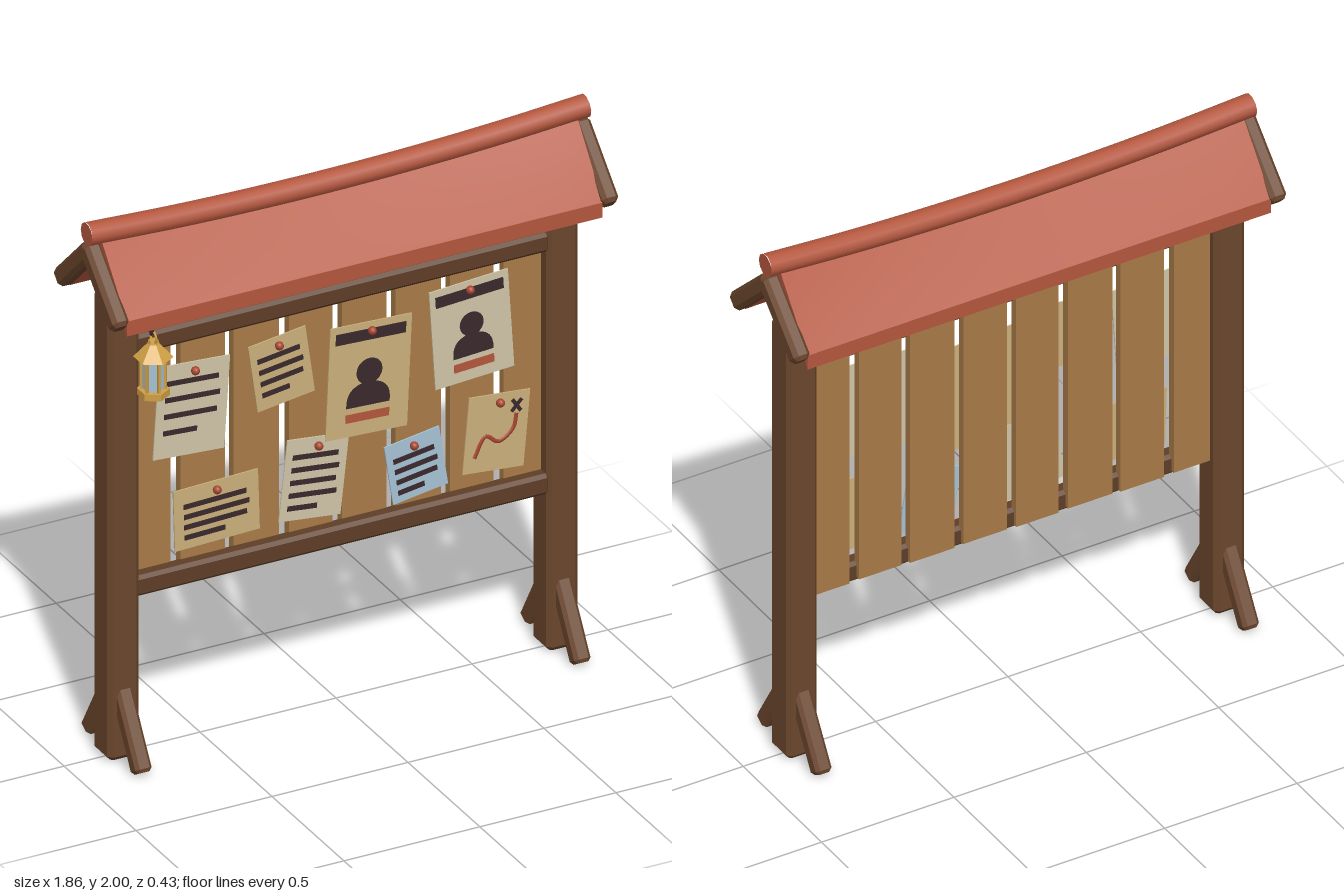
import * as THREE from 'three';

const mat = (name, color) => {
  const m = new THREE.MeshStandardMaterial({ color });
  m.name = name;
  return m;
};

export function createModel() {
  const wood = mat('timber', 0x6b462c), darkWood = mat('dark timber', 0x5f3e27);
  const board = mat('board wood', 0xa97b47), roofRed = mat('roof red', 0xb5573e);
  const brass = mat('brass', 0xd0a045), cream = mat('cream paper', 0xd0c6a8);
  const tan = mat('tan paper', 0xcbb17c), blue = mat('pale blue', 0xa6c3d6);
  const ink = mat('ink', 0x3a2a2c), red = mat('pin red', 0xa8452f);

  const model = new THREE.Group();
  model.name = 'noticeBoard';

  const add = (parent, name, geo, material, x = 0, y = 0, z = 0) => {
    const mesh = new THREE.Mesh(geo, material);
    mesh.name = name;
    mesh.position.set(x, y, z);
    parent.add(mesh);
    return mesh;
  };
  const box = (w, h, d) => new THREE.BoxGeometry(w, h, d);

  // Beam with chamfered edges and ends, length along y
  const beam = (w, d, len, c = 0.012) => {
    const a = w / 2, b = d / 2;
    const s = new THREE.Shape([
      [-a + c, -b], [a - c, -b], [a, -b + c], [a, b - c],
      [a - c, b], [-a + c, b], [-a, b - c], [-a, -b + c],
    ].map(([x, y]) => new THREE.Vector2(x, y)));
    const g = new THREE.ExtrudeGeometry(s, {
      depth: len - 2 * c, bevelEnabled: true, bevelSegments: 1,
      bevelThickness: c, bevelSize: c * 0.8, bevelOffset: -c * 0.8,
    });
    return g.translate(0, 0, -len / 2 + c).rotateX(-Math.PI / 2);
  };

  // Posts, splayed braces and end rafters
  for (const sx of [-1, 1]) {
    add(model, 'post', beam(0.116, 0.12, 1.7, 0.016), wood, sx * 0.807, 0.86, 0);
    for (const sz of [-1, 1]) {
      const brace = add(model, 'brace', beam(0.06, 0.06, 0.34), wood, sx * 0.807, 0.161, sz * 0.09);
      brace.rotation.x = -sz * 0.54;
      const rafter = add(model, 'rafter', beam(0.06, 0.066, 0.3, 0.014), wood,
        sx * 0.9, sx > 0 ? 1.8 : 1.793, sz * 0.093);
      rafter.rotation.x = -sz * 0.8;
    }
  }

  // Cross rails and header
  for (const [name, y, h, d, z] of [
    ['header', 1.662, 0.08, 0.08, 0], ['topRail', 1.52, 0.072, 0.06, 0.024], ['bottomRail', 0.628, 0.076, 0.06, 0.024],
  ]) {
    add(model, name, beam(h, d, 1.52), darkWood, 0, y, z).rotation.z = Math.PI / 2;
  }

  // Vertical backing boards
  for (let i = 0; i < 8; i++) {
    const w = 0.16 + 0.004 * (i % 3);
    add(model, 'backBoard', box(w, 0.93 + 0.01 * (i % 2), 0.03), board,
      (i - 3.5) * 0.198, 1.073, -0.007 + 0.002 * (i % 2));
  }

  // Roof slopes that sag along the ridge
  const ridgeY = x => 1.92 + 0.04 * x * x + 0.008 * x;
  for (const s of [-1, 1]) {
    const g = box(1.75, 0.055, 1);
    const slope = new THREE.BoxGeometry(1.75, 0.055, 1, 18, 1, 4);
    g.dispose();
    const p = slope.attributes.position;
    for (let i = 0; i < p.count; i++) {
      const x = p.getX(i), t = 0.5 + s * p.getZ(i);
      const top = THREE.MathUtils.lerp(ridgeY(x) + 0.012, 1.708, t);
      p.setXYZ(i, x, top - 0.0275 + p.getY(i), s * t * 0.2);
    }
    slope.computeVertexNormals();
    add(model, 'roofSlope', slope, roofRed);
  }

  // Curved ridge pole with end caps
  const ridgePoints = [-0.917, -0.6, -0.3, 0, 0.3, 0.6, 0.917]
    .map(x => new THREE.Vector3(x, ridgeY(x), 0));
  add(model, 'ridgePole',
    new THREE.TubeGeometry(new THREE.CatmullRomCurve3(ridgePoints), 24, 0.041, 10), roofRed);
  for (const s of [-1, 1]) {
    add(model, 'ridgeCap', new THREE.CircleGeometry(0.041, 10), roofRed, s * 0.917, ridgeY(s * 0.917), 0)
      .rotation.y = s * Math.PI / 2;
  }

  // Paper sheet with its pin; details are placed in its own frame
  let sheets = 0;
  const sheet = (name, material, x, y, w, h, turn) => {
    const g = new THREE.Group();
    g.name = name;
    g.position.set(x, y, 0.015 + 0.0015 * (sheets++ % 3));
    g.rotation.z = turn;
    model.add(g);
    add(g, 'paper', box(w, h, 0.005), material);
    add(g, 'pin', new THREE.SphereGeometry(0.015, 10, 8), red, 0, h / 2 - 0.03, 0.012);
    return g;
  };
  const plate = (g, name, w, h, material, x, y) =>
    add(g, name, box(w, h, 0.003), material, x, y, 0.0035);

  // Written notices: material, x, y, width, height, turn, lines, line step
  for (const [m, x, y, w, h, turn, lines, step] of [
    [cream, -0.54, 1.22, 0.262, 0.338, -0.065, 4, 0.06],
    [tan, -0.21, 1.28, 0.212, 0.25, 0.14, 4, 0.043],
    [tan, -0.45, 0.82, 0.312, 0.222, 0.03, 4, 0.038],
    [cream, -0.09, 0.85, 0.228, 0.295, -0.11, 5, 0.046],
    [blue, 0.285, 0.8, 0.204, 0.222, 0.15, 4, 0.04],
  ]) {
    const g = sheet('notice', m, x, y, w, h, turn);
    for (let i = 0; i < lines; i++) {
      const full = w * 0.77, len = i === lines - 1 ? full * 0.62 : full * (i % 2 ? 1 : 0.96);
      plate(g, 'writing', len, 0.018, ink, (len - full) / 2, h / 2 - 0.066 - i * step);
    }
  }

  // Portrait posters
  const bust = new THREE.Shape();
  bust.moveTo(-0.08, -0.1);
  bust.lineTo(0.08, -0.1);
  bust.bezierCurveTo(0.084, -0.045, 0.06, -0.025, 0.025, -0.015);
  bust.lineTo(-0.025, -0.015);
  bust.bezierCurveTo(-0.06, -0.025, -0.084, -0.045, -0.08, -0.1);
  for (const [m, x, y, w, h, turn, k] of [
    [tan, 0.11, 1.17, 0.3, 0.41, -0.045, 1],
    [cream, 0.49, 1.25, 0.29, 0.365, 0.065, 0.92],
  ]) {
    const g = sheet('poster', m, x, y, w, h, turn);
    plate(g, 'headingBar', w * 0.86, 0.04, ink, 0, h / 2 - 0.045);
    plate(g, 'lowerBar', 0.16 * k, 0.03, roofRed, 0, -0.138 * k);
    const figure = new THREE.Group();
    figure.name = 'portrait';
    figure.scale.set(k, k, 1);
    g.add(figure);
    add(figure, 'head', new THREE.CircleGeometry(0.048, 20), ink, 0, 0.025, 0.0045);
    add(figure, 'shoulders', new THREE.ShapeGeometry(bust, 8), ink, 0, 0, 0.0042);
  }

  // Map with a route and a cross
  const map = sheet('map', tan, 0.58, 0.85, 0.225, 0.278, -0.09);
  const route = new THREE.CatmullRomCurve3([
    [-0.075, -0.085], [-0.04, -0.01], [0.01, -0.035], [0.06, 0.005], [0.068, 0.06],
  ].map(([x, y]) => new THREE.Vector3(x, y, 0)));
  add(map, 'route', new THREE.TubeGeometry(route, 24, 0.008, 6), red, 0, 0, 0.003).scale.z = 0.4;
  for (const s of [-1, 1]) {
    plate(map, 'cross', 0.055, 0.013, ink, 0.066, 0.088).rotation.z = s * 0.9;
  }

  // Hanging lantern on a short iron arm
  const lantern = new THREE.Group();
  lantern.name = 'lantern';
  lantern.position.set(-0.752, 0, 0.152);
  model.add(lantern);
  const hex = (rt, rb, h) => new THREE.CylinderGeometry(rt, rb, h, 6).toNonIndexed();
  const turned = (name, rt, rb, h, m, y) => {
    const g = hex(rt, rb, h);
    g.computeVertexNormals();
    add(lantern, name, g, m, 0, y, 0);
  };
  turned('lanternBase', 0.054, 0.054, 0.024, brass, 1.398);
  turned('lanternGlass', 0.036, 0.036, 0.13, blue, 1.47);
  turned('lanternRoof', 0.02, 0.066, 0.05, brass, 1.551);
  turned('lanternCap', 0.016, 0.02, 0.014, brass, 1.582);
  for (let i = 0; i < 6; i++) {
    const a = i * Math.PI / 3;
    add(lantern, 'lanternBar', box(0.009, 0.13, 0.009), brass,
      Math.sin(a) * 0.039, 1.47, Math.cos(a) * 0.039).rotation.y = a;
  }
  add(lantern, 'lanternRing', new THREE.TorusGeometry(0.02, 0.004, 6, 16), brass, 0, 1.598, 0)
    .rotation.y = Math.PI / 2;
  add(lantern, 'lanternArm', box(0.014, 0.014, 0.13), ink, -0.01, 1.629, -0.06);
  add(lantern, 'lanternHook', box(0.01, 0.026, 0.01), ink, -0.006, 1.62, 0);

  return model;
}
